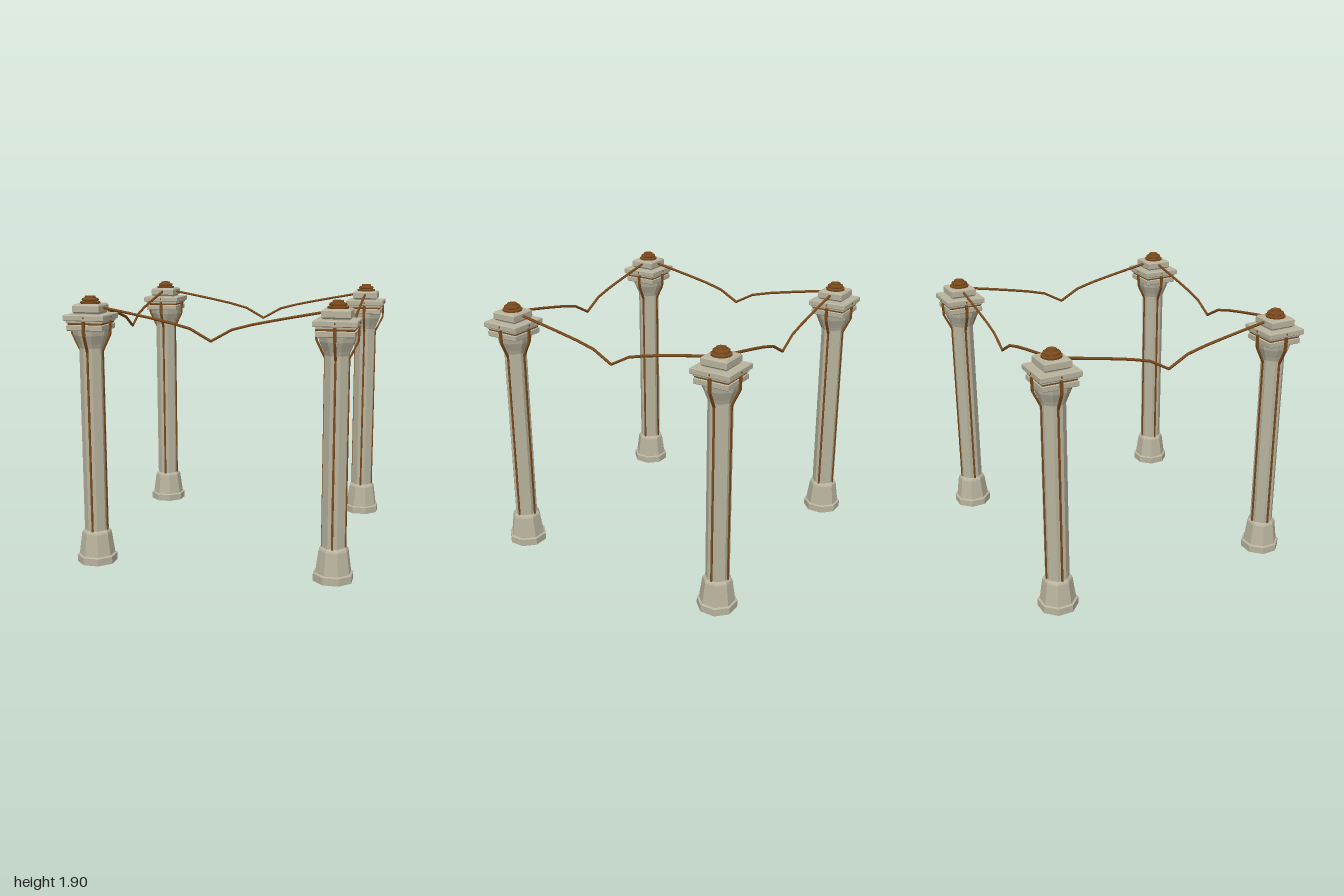
import * as THREE from 'three';

const stone = new THREE.MeshStandardMaterial({ color: 0xb8b39e });
stone.name = 'paleStone';
const bronze = new THREE.MeshStandardMaterial({ color: 0x7a4a1c });
bronze.name = 'agedBronze';

const OFFSET = 0.852; // pillar centre from the middle

function flat(geometry) {
  const g = geometry.index ? geometry.toNonIndexed() : geometry;
  g.computeVertexNormals();
  return g;
}

// Faceted solid from [half width, height] pairs, with a flat side facing front
function prism(name, sides, profile, material) {
  const k = 1 / Math.cos(Math.PI / sides);
  const pts = profile.map(([r, y]) => new THREE.Vector2(r * k, y));
  pts.unshift(new THREE.Vector2(0, profile[0][1]));
  pts.push(new THREE.Vector2(0, profile[profile.length - 1][1]));
  const mesh = new THREE.Mesh(flat(new THREE.LatheGeometry(pts, sides, Math.PI / sides)), material);
  mesh.name = name;
  return mesh;
}

// Square slab with small bevels
function slab(name, half, y0, y1, bevel, material = stone) {
  return prism(name, 4, [
    [half - bevel, y0], [half, y0 + bevel], [half, y1 - bevel], [half - bevel, y1],
  ], material);
}

// Straight bar between two points
function rod(name, a, b, geometryOf) {
  const dir = new THREE.Vector3().subVectors(b, a);
  const mesh = new THREE.Mesh(geometryOf(dir.length()), bronze);
  mesh.name = name;
  mesh.position.addVectors(a, b).multiplyScalar(0.5);
  mesh.quaternion.setFromUnitVectors(new THREE.Vector3(0, 1, 0), dir.normalize());
  return mesh;
}

// Metal strip running up one side of a pillar and out to the capital
function createStrip() {
  const strip = new THREE.Group();
  strip.name = 'metalStrip';
  const path = [[0.23, 0.079], [1.515, 0.079], [1.635, 0.138], [1.73, 0.141]]
    .map(([y, z]) => new THREE.Vector3(0, y, z));
  const widths = [0.014, 0.016, 0.02];
  const names = ['shaftStrip', 'bracketArm', 'bracketTop'];
  widths.forEach((w, i) => strip.add(
    rod(names[i], path[i], path[i + 1], (len) => new THREE.BoxGeometry(w, len, 0.013))));
  const pin = new THREE.Mesh(new THREE.BoxGeometry(0.01, 0.012, 0.008), bronze);
  pin.name = 'slabPin';
  pin.position.set(0, 1.755, 0.144);
  strip.add(pin);
  return strip;
}

function createPillar() {
  const pillar = new THREE.Group();
  pillar.name = 'pillar';
  pillar.add(
    prism('base', 8, [
      [0.131, 0], [0.131, 0.052], [0.117, 0.058], [0.097, 0.215], [0.092, 0.226], [0.08, 0.238],
    ], stone),
    prism('shaft', 8, [[0.078, 0.23], [0.078, 1.54]], stone),
    prism('capitalFlare', 8, [
      [0.078, 1.54], [0.088, 1.57], [0.113, 1.63], [0.12, 1.668],
    ], stone),
    slab('lowerSlab', 0.128, 1.665, 1.706, 0.005),
    slab('metalBand', 0.122, 1.706, 1.718, 0.002, bronze),
    slab('middleSlab', 0.13, 1.718, 1.735, 0.003),
    slab('upperSlab', 0.145, 1.733, 1.774, 0.005),
    slab('neck', 0.083, 1.772, 1.784, 0.001),
    slab('capBlock', 0.096, 1.78, 1.843, 0.011),
    prism('finial', 12, [
      [0.066, 1.84], [0.068, 1.856], [0.05, 1.861], [0.057, 1.866],
      [0.055, 1.878], [0.037, 1.884], [0.034, 1.896],
    ], bronze),
  );
  for (let i = 0; i < 4; i++) {
    const strip = createStrip();
    strip.rotation.y = i * Math.PI / 2;
    pillar.add(strip);
  }
  return pillar;
}

// Hanging cable with a kink in the middle
function createCable() {
  const cable = new THREE.Group();
  cable.name = 'cable';
  const half = [[0, 1.606], [0.145, 1.687], [0.285, 1.724], [0.43, 1.754], [0.575, 1.782], [0.765, 1.817]];
  for (const side of [-1, 1]) {
    const pts = half.map(([x, y]) => new THREE.Vector3(side * x, y, 0));
    for (let i = 0; i < pts.length - 1; i++) {
      cable.add(rod('cableSegment', pts[i], pts[i + 1],
        (len) => flat(new THREE.CylinderGeometry(0.01, 0.01, len + 0.004, 6))));
    }
  }
  return cable;
}

export function createModel() {
  const model = new THREE.Group();
  model.name = 'pillarSquare';
  for (const x of [-1, 1]) {
    for (const z of [-1, 1]) {
      const pillar = createPillar();
      pillar.position.set(x * OFFSET, 0, z * OFFSET);
      model.add(pillar);
    }
  }
  // One cable along each side of the square
  for (let i = 0; i < 4; i++) {
    const span = new THREE.Group();
    span.name = 'cableSpan';
    const cable = createCable();
    cable.position.z = OFFSET;
    span.add(cable);
    span.rotation.y = i * Math.PI / 2;
    model.add(span);
  }
  return model;
}
